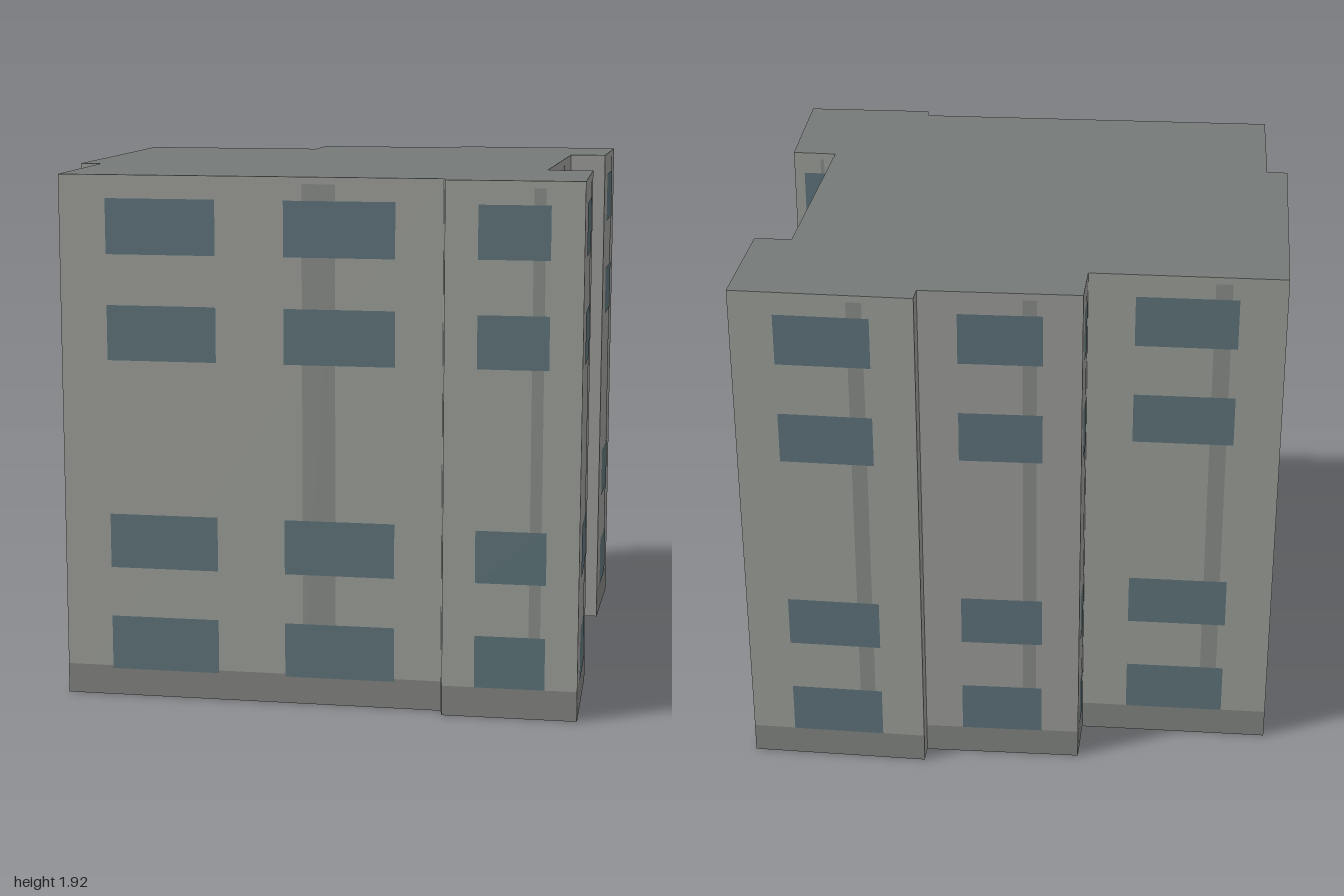
import * as THREE from 'three';

const HEIGHT = 1.925;
const BASE = 0.11;
const ROWS = [0.1, 0.485, 1.255, 1.64]; // window sills, with one blank storey

// Footprint corners [x, z], anticlockwise seen from above
const PLAN = [
  [-0.89, 0.943], [0.503, 0.9], [0.514, 0.95], [1.0, 0.932],
  [0.975, 0.405], [0.808, 0.405], [0.803, -0.48], [0.94, -0.49],
  [0.937, -0.957], [0.283, -0.957], [0.283, -0.887], [-0.295, -0.868],
  [-0.295, -0.672], [-1.0, -0.658], [-0.985, 0.39], [-0.907, 0.387],
];

const mat = (color, side = THREE.FrontSide) => new THREE.MeshStandardMaterial({ color, side });

// Upright rectangle in a wall's own frame: u along the wall, y up, d outwards
function panel(name, material, u0, u1, y0, y1, d) {
  const geo = new THREE.PlaneGeometry(u1 - u0, y1 - y0);
  geo.translate((u0 + u1) / 2, (y0 + y1) / 2, d);
  const mesh = new THREE.Mesh(geo, material);
  mesh.name = name;
  return mesh;
}

export function createModel() {
  const model = new THREE.Group();
  model.name = 'apartmentBlock';
  const wallMat = mat(0x9fa19c, THREE.DoubleSide);
  const roofMat = mat(0x757b78, THREE.DoubleSide);
  const baseMat = mat(0x858784);
  const stripMat = mat(0x8c8f8b);
  const windowMat = mat(0x5f757c);

  // Walls, each with its base band, vertical strip and windows
  PLAN.forEach(([x, z], i) => {
    const [nx, nz] = PLAN[(i + 1) % PLAN.length];
    const length = Math.hypot(nx - x, nz - z);
    const facade = new THREE.Group();
    facade.name = 'facade' + (i + 1);
    facade.position.set(x, 0, z);
    facade.rotation.y = Math.atan2(z - nz, nx - x);
    facade.add(panel('wall', wallMat, 0, length, 0, HEIGHT, 0));
    model.add(facade);
    if (length < 0.15) return; // narrow returns are plain

    facade.add(panel('baseBand', baseMat, 0, length, 0, BASE, 0.001));
    facade.add(panel('strip', stripMat, length * 0.637, length * 0.723, BASE, 1.9, 0.001));

    // Long walls carry two windows per storey, short ones a single one
    const long = length > 0.8;
    const centres = long ? [0.267, 0.733] : [0.5];
    const half = long ? 0.144 : 0.26;
    for (const sill of ROWS) {
      for (const c of centres) {
        facade.add(panel('window', windowMat, (c - half) * length, (c + half) * length,
          sill + (long ? 0 : 0.01), sill + 0.201, 0.002));
      }
    }
  });

  // Flat roof; the underside of the block stays open
  const outline = new THREE.Shape(PLAN.map(([x, z]) => new THREE.Vector2(x, -z)));
  const roof = new THREE.Mesh(new THREE.ShapeGeometry(outline), roofMat);
  roof.name = 'roof';
  roof.rotation.x = -Math.PI / 2;
  roof.position.y = HEIGHT;
  model.add(roof);

  return model;
}
